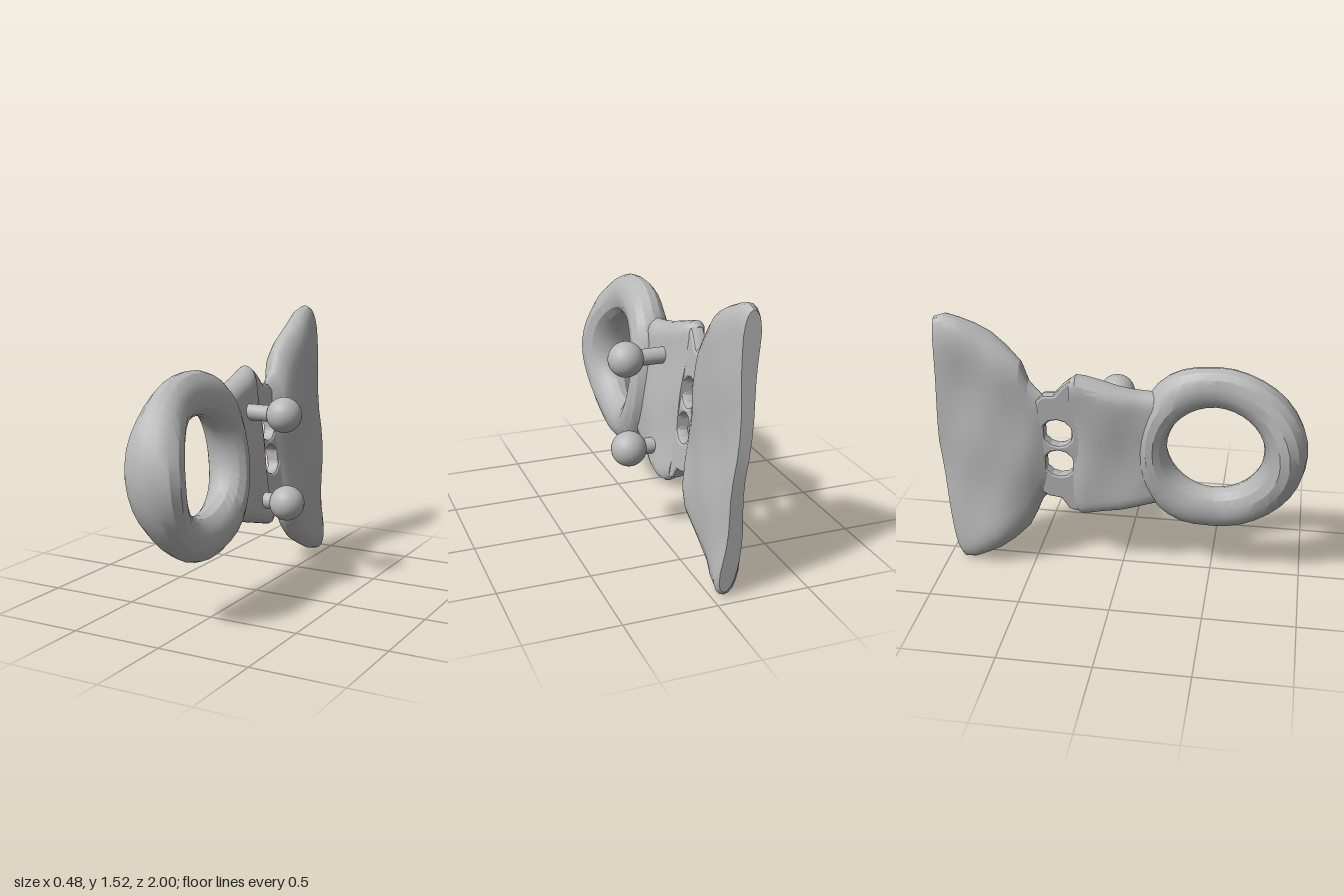
import * as THREE from 'three';
import { toCreasedNormals } from 'three/addons/utils/BufferGeometryUtils.js';

const grey = new THREE.MeshStandardMaterial({ color: 0xb8b8b8 });
grey.name = 'stone grey';

// Skin a list of closed cross-sections; either join the last to the first or cap both ends
function loft(rings, joined) {
  const n = rings[0].length, count = rings.length, index = [];
  const id = (i, j) => (i % count) * n + (j % n);
  const quad = (a, b, c, d) => index.push(a, b, c, a, c, d);
  for (let i = 0; i < (joined ? count : count - 1); i++) {
    for (let j = 0; j < n; j++) quad(id(i, j), id(i + 1, j), id(i + 1, j + 1), id(i, j + 1));
  }
  if (!joined) {
    const e = count - 1;
    for (let j = 0; j < n / 2; j++) {
      quad(id(0, j), id(0, j + 1), id(0, n - j - 1), id(0, n - j));
      quad(id(e, n - j), id(e, n - j - 1), id(e, j + 1), id(e, j));
    }
  }
  const geo = new THREE.BufferGeometry().setFromPoints(rings.flat());
  geo.setIndex(index);
  return toCreasedNormals(geo, 0.45);
}

// Gentle hand-worked unevenness
const ripple = (y, z) => 0.006 * Math.sin(11 * y + 5 * z) + 0.005 * Math.sin(19 * z - 8 * y + 1);

// Thick hoop, widest at the front, leaning slightly, its back squared off against the body
function ringGeometry() {
  const rings = [];
  for (let i = 0; i < 36; i++) {
    const a = (i / 36) * Math.PI * 2, c = Math.cos(a), s = Math.sin(a);
    const halfX = 0.088 + 0.077 * Math.max(0, c) ** 2.5 + 0.032 * Math.max(0, -c);
    const outerZ = c > 0 ? 0.55 + 0.45 * c : 0.55 - 0.47 * Math.abs(c) ** 0.8;
    const ring = [];
    for (let j = 0; j < 14; j++) {
      const b = (j / 14) * Math.PI * 2, k = (1 + Math.cos(b)) / 2;
      const z = THREE.MathUtils.lerp(0.51 + 0.26 * c, outerZ - 0.035 * s * s, k);
      const y = THREE.MathUtils.lerp(0.805 + 0.255 * s, 0.8 + 0.49 * s, k);
      const x = -0.077 - 0.09 * (y - 0.8) - halfX * Math.sin(b) + 0.5 * ripple(y, z);
      ring.push(new THREE.Vector3(x, y, z));
    }
    rings.push(ring);
  }
  return loft(rings, true);
}

// Upright slab with rounded top and bottom; each section is
// z, bottom, top, half thickness, centre x, lean, waist (thinning at mid height).
// trim(y, z) reshapes the end edges
function slab(sections, round, trim) {
  const steps = 22;
  return loft(sections.map(([z, lo, hi, half, centre, lean, waist]) => {
    const ring = [];
    for (const side of [1, -1]) {
      for (let j = 0; j < steps; j++) {
        // Points bunch up towards the rounded tips
        const t = (1 - Math.cos((j / steps) * Math.PI)) / 2;
        const y = side > 0 ? lo + (hi - lo) * t : hi - (hi - lo) * t;
        const fall = Math.max(0, 1 - Math.min(y - lo, hi - y) / round);
        const thick = half * Math.sqrt(1 - fall * fall) * (1 - waist * 4 * t * (1 - t));
        const x = centre - lean * (y - 0.78) + side * thick;
        ring.push(new THREE.Vector3(x + ripple(y, z), y, trim(y, z)));
      }
    }
    return ring;
  }), false);
}

// Leaning body behind the hoop, its front edge following the hoop
function bodyGeometry() {
  return slab([
    [0.28, 0.47, 1.13, 0.06, -0.1, 0.1, 0], [0.16, 0.435, 1.135, 0.07, -0.1, 0.11, 0],
    [0.08, 0.41, 1.145, 0.075, -0.1, 0.12, 0], [0, 0.385, 1.165, 0.08, -0.105, 0.14, 0],
    [-0.1, 0.36, 1.195, 0.083, -0.108, 0.15, 0.05], [-0.18, 0.338, 1.22, 0.078, -0.112, 0.15, 0.15],
    [-0.22, 0.335, 1.23, 0.066, -0.118, 0.15, 0.25], [-0.255, 0.36, 1.205, 0.045, -0.122, 0.15, 0.3],
  ], 0.08, (y, z) => Math.min(z, 0.17 + 0.95 * (y - 0.8) ** 2));
}

// Flared fin: thin neck, thick ridge, then a narrowing blade cut off along a bent back edge
function finGeometry() {
  const backEdge = (y) => (y > 0.75 ? -1 + 0.04 * (y - 0.75) : -1 + 0.085 * (0.75 - y));
  return slab([
    [-0.405, 0.455, 1.1, 0.035, -0.125, 0.13, 0], [-0.44, 0.42, 1.13, 0.05, -0.122, 0.12, 0],
    [-0.48, 0.32, 1.17, 0.064, -0.12, 0.1, 0], [-0.52, 0.24, 1.28, 0.075, -0.12, 0.07, 0],
    [-0.6, 0.165, 1.36, 0.085, -0.12, 0.04, 0], [-0.68, 0.105, 1.42, 0.092, -0.12, 0.03, 0.05],
    [-0.76, 0.06, 1.465, 0.092, -0.12, 0.03, 0.18], [-0.84, 0.015, 1.5, 0.09, -0.12, 0.04, 0.3],
    [-0.91, 0.0, 1.52, 0.08, -0.118, 0.05, 0.4], [-1.0, 0.03, 1.5, 0.055, -0.115, 0.06, 0.42],
  ], 0.17, (y, z) => Math.max(z, backEdge(y)));
}

// Thin neck with two round holes, drawn with -z to the right
function neckGeometry() {
  const shape = new THREE.Shape([
    [0.2, 0.4], [0.25, 0.365], [0.29, 0.38], [0.33, 0.445], [0.4, 0.455], [0.44, 0.48],
    [0.44, 1.07], [0.4, 1.105], [0.34, 1.11], [0.29, 1.17], [0.25, 1.205], [0.2, 1.17],
  ].map(([s, y]) => new THREE.Vector2(s, y)));
  for (const y of [0.875, 0.68]) {
    const hole = new THREE.Path();
    hole.absarc(0.33, y, 0.081, 0, Math.PI * 2, true);
    shape.holes.push(hole);
  }
  const geo = new THREE.ExtrudeGeometry(shape, {
    depth: 0.03, bevelThickness: 0.022, bevelSize: 0.014,
    bevelOffset: -0.014, bevelSegments: 2, curveSegments: 6,
  });
  geo.translate(0, 0, -0.015);
  geo.rotateY(Math.PI / 2);
  const p = geo.attributes.position;
  for (let i = 0; i < p.count; i++) {
    p.setX(i, p.getX(i) - 0.125 - 0.14 * (p.getY(i) - 0.78));
  }
  return toCreasedNormals(geo, 0.5);
}

export function createModel() {
  const model = new THREE.Group();
  model.name = 'ringedFin';
  const add = (name, geo, parent = model) => {
    const mesh = new THREE.Mesh(geo, grey);
    mesh.name = name;
    parent.add(mesh);
    return mesh;
  };

  add('ring', ringGeometry());
  add('body', bodyGeometry());
  add('piercedNeck', neckGeometry());
  add('fin', finGeometry());

  // Ball-headed pegs on the left face
  for (const [name, y, z] of [['upperPeg', 1.0, -0.055], ['lowerPeg', 0.5, -0.095]]) {
    const peg = new THREE.Group();
    peg.name = name;
    peg.position.set(0.142, y, z);
    const stem = add('stem', new THREE.CylinderGeometry(0.045, 0.045, 0.24, 24), peg);
    stem.rotation.z = Math.PI / 2;
    stem.position.x = -0.12;
    add('ball', new THREE.SphereGeometry(0.097, 32, 24), peg);
    model.add(peg);
  }
  return model;
}
